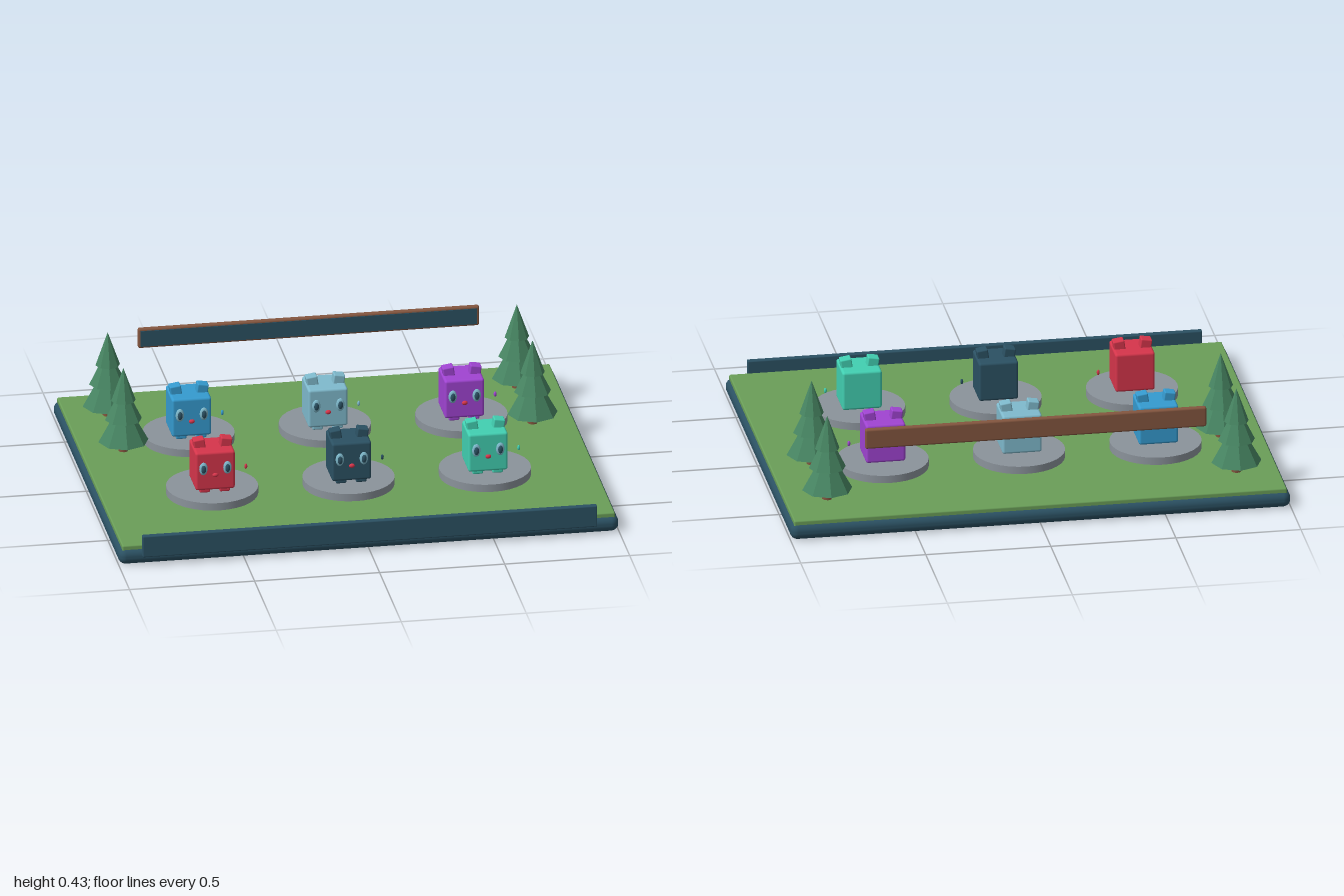
import * as THREE from 'three';
import { RoundedBoxGeometry } from 'three/addons/geometries/RoundedBoxGeometry.js';

const paint = (name, color, flatShading = false) => {
  const m = new THREE.MeshStandardMaterial({ color, flatShading });
  m.name = name;
  return m;
};

export function createModel() {
  const root = new THREE.Group();
  root.name = 'toyGarden';

  const navy = paint('navy', 0x2b5163);
  const grass = paint('grassGreen', 0x6a9e58);
  const stone = paint('stoneGrey', 0x8b939b);
  const wood = paint('woodBrown', 0x84563f);
  const pine = paint('pineGreen', 0x478562, true);
  const red = paint('red', 0xd6354b);
  const blue = paint('blue', 0x359bd0);
  const paleBlue = paint('paleBlue', 0x7fbacd);
  const purple = paint('purple', 0xa044d2);
  const teal = paint('teal', 0x42d0b2);

  const add = (parent, name, geo, mat, x, y, z) => {
    const m = new THREE.Mesh(geo, mat);
    m.name = name;
    m.position.set(x, y, z);
    parent.add(m);
    return m;
  };
  const rounded = (w, h, d, r) => new RoundedBoxGeometry(w, h, d, 3, r);

  // Tray, lawn and front sill
  add(root, 'tray', rounded(2, 0.066, 1.545, 0.03), navy, 0, 0.033, -0.008);
  add(root, 'lawn', rounded(1.97, 0.03, 1.515, 0.006), grass, 0, 0.065, -0.008);
  add(root, 'frontSill', rounded(1.818, 0.09, 0.025, 0.005), navy, 0, 0.082, 0.768);

  // Hanging sign board with a dark front face
  add(root, 'signBoard', rounded(1.364, 0.083, 0.024, 0.008), wood, 0, 0.362, -0.646);
  add(root, 'signFace', new THREE.BoxGeometry(1.345, 0.066, 0.006), navy, 0, 0.362, -0.634);

  // Shared creature geometries
  const bodyGeo = rounded(0.158, 0.161, 0.155, 0.01);
  const earGeo = rounded(0.045, 0.06, 0.045, 0.005);
  const footGeo = rounded(0.042, 0.025, 0.045, 0.006);
  const ball = new THREE.SphereGeometry(1, 16, 12);
  const discGeo = new THREE.CylinderGeometry(0.182, 0.182, 0.035, 32);

  // Block creature on a stone disc, facing +z
  function creature(name, skin, x, z) {
    const g = new THREE.Group();
    g.name = name;
    g.position.set(x, 0, z);
    add(g, 'disc', discGeo, stone, 0, 0.0935, 0);
    add(g, 'body', bodyGeo, skin, 0, 0.2045, 0);
    for (const s of [-1, 1]) {
      const side = s > 0 ? 'left' : 'right';
      add(g, side + 'Ear', earGeo, skin, s * 0.052, 0.288, 0).rotation.z = -s * 0.15;
      add(g, side + 'Foot', footGeo, skin, s * 0.04, 0.1225, 0.046);
      add(g, side + 'Eye', ball, paleBlue, s * 0.048, 0.217, 0.077).scale.set(0.017, 0.027, 0.01);
      add(g, side + 'Pupil', ball, navy, s * 0.048, 0.217, 0.084).scale.set(0.01, 0.017, 0.007);
    }
    add(g, 'mouth', ball, red, 0, 0.188, 0.077).scale.set(0.012, 0.009, 0.009);
    add(g, 'sideBead', ball, skin, 0.135, 0.183, 0).scale.set(0.006, 0.011, 0.006);
    root.add(g);
  }

  const rows = [
    [-0.264, [['blue', blue], ['paleBlue', paleBlue], ['purple', purple]]],
    [0.281, [['red', red], ['navy', navy], ['teal', teal]]],
  ];
  for (const [z, row] of rows) {
    row.forEach(([name, skin], i) => creature(name + 'Creature', skin, (i - 1) * 0.5455, z));
  }

  // Low-poly pines: [bottom height, radius, height] per tier
  const trunkGeo = new THREE.CylinderGeometry(0.02, 0.02, 0.06, 8);
  const tiers = [[0.122, 0.1, 0.18], [0.215, 0.074, 0.15], [0.295, 0.049, 0.138]]
    .map(([y, r, h]) => [y + h / 2, new THREE.ConeGeometry(r, h, 8)]);
  for (const x of [-0.818, 0.818]) {
    for (const z of [-0.558, -0.195]) {
      const tree = new THREE.Group();
      tree.name = 'pineTree';
      tree.position.set(x, 0, z);
      add(tree, 'trunk', trunkGeo, wood, 0, 0.105, 0);
      for (const [y, geo] of tiers) add(tree, 'foliage', geo, pine, 0, y, 0);
      root.add(tree);
    }
  }
  return root;
}
